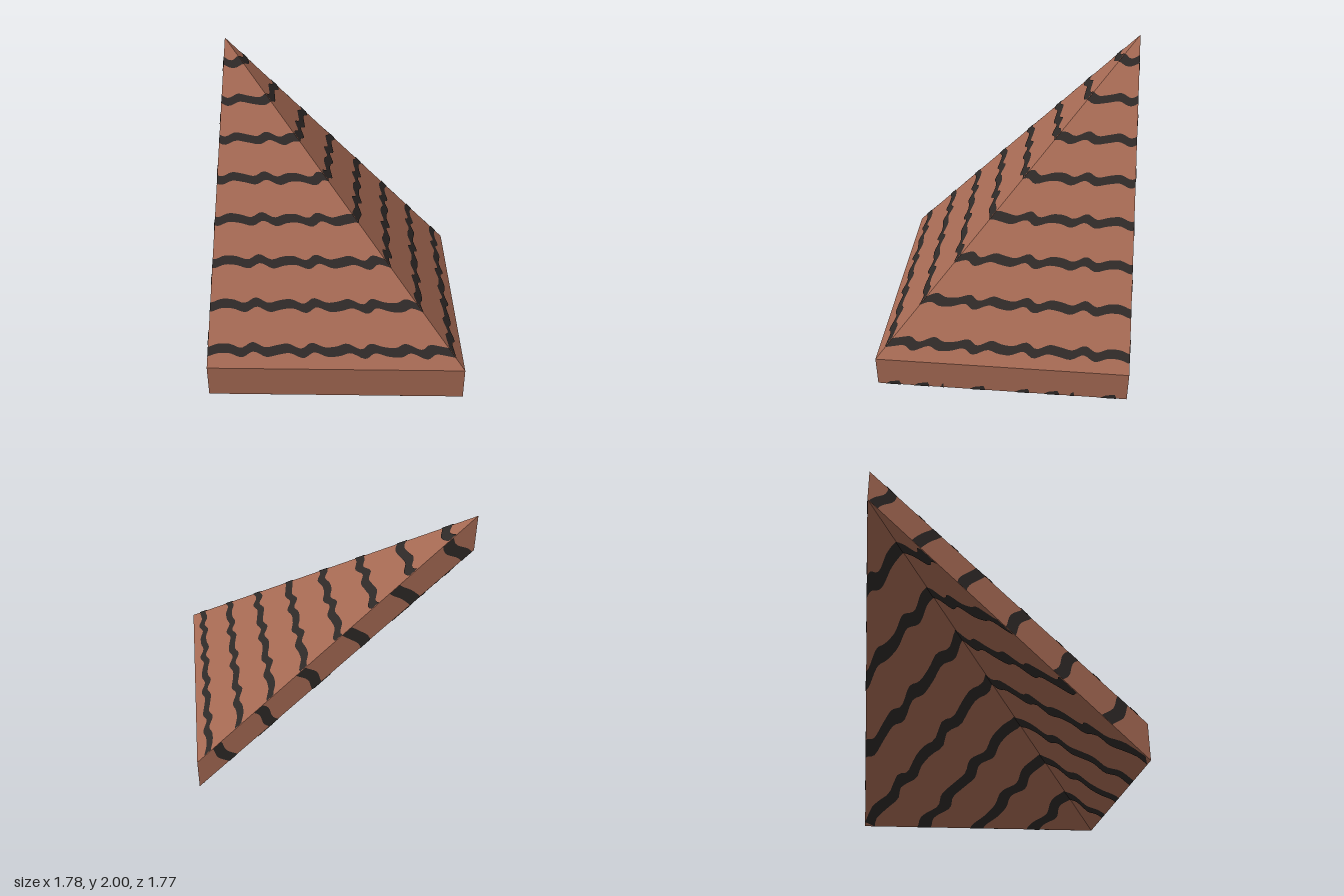
import * as THREE from 'three';

const R = 0.885;      // half of the square plan
const THICK = 0.23;   // vertical thickness of the roof slab
const LIFT = 0.003;   // stripes sit just off the surface
const topY = (z) => 2 - R - z;
const lowY = (z) => topY(z) - THICK;

const clay = new THREE.MeshStandardMaterial({ color: 0xa56953 });
clay.name = 'terracotta';
const dark = new THREE.MeshStandardMaterial({ color: 0x2e2927, side: THREE.DoubleSide });
dark.name = 'charcoal';

function makeMesh(name, positions, material) {
  const g = new THREE.BufferGeometry();
  g.setAttribute('position', new THREE.Float32BufferAttribute(positions, 3));
  g.computeVertexNormals();
  const mesh = new THREE.Mesh(g, material);
  mesh.name = name;
  return mesh;
}

// Two halves mirror each other across the diagonal x = z
const place = (p, mirrored) => (mirrored ? [p[2], p[1], p[0]] : p);

// Flat polygons fanned into triangles
function panels(polys, mirrored) {
  const out = [];
  for (const poly of polys) {
    const pts = poly.map((p) => place(p, mirrored));
    if (mirrored) pts.reverse();
    for (let i = 1; i < pts.length - 1; i++) out.push(...pts[0], ...pts[i], ...pts[i + 1]);
  }
  return out;
}

// Ribbon between the two edges point(u, -1) and point(u, 1)
function ribbon(out, point, mirrored, steps) {
  for (let i = 0; i < steps; i++) {
    const q = [[i, -1], [i, 1], [i + 1, 1], [i + 1, -1]]
      .map(([k, side]) => place(point(k / steps, side), mirrored));
    const order = mirrored ? [0, 2, 1, 0, 3, 2] : [0, 1, 2, 0, 2, 3];
    for (const n of order) out.push(...q[n]);
  }
}

const wave = (s, period, phase) =>
  0.011 * Math.sin((s / period) * Math.PI * 2 + phase) +
  0.004 * Math.sin((s / period) * Math.PI * 3.1 + phase * 2.3);

function buildHalf(mirrored) {
  const half = new THREE.Group();
  half.name = mirrored ? 'rightRoofHalf' : 'frontRoofHalf';

  // Slab: slope, underside, eave board and gable edge
  const [a, b, c] = [[-R, -R], [-R, R], [R, R]];
  const up = ([x, z]) => [x, topY(z), z];
  const dn = ([x, z]) => [x, lowY(z), z];
  half.add(makeMesh('roofSlab', panels([
    [up(a), up(b), up(c)],
    [dn(a), dn(c), dn(b)],
    [dn(b), dn(c), up(c), up(b)],
    [dn(a), dn(b), up(b), up(a)],
  ], mirrored), clay));

  // Wavy courses along the slope, mitred at the hip
  const slope = [];
  for (let k = 0; k < 8; k++) {
    const mid = -0.74 + k * 0.2193;
    ribbon(slope, (u, side) => {
      const s = THREE.MathUtils.lerp(-R, mid, u);
      const z = mid + wave(s, 0.212, 0.8 + k * 0.25) + side * 0.023;
      return [THREE.MathUtils.lerp(-R, z, u), topY(z) + LIFT, z + LIFT];
    }, mirrored, Math.max(6, Math.round((mid + R) * 45)));
  }
  half.add(makeMesh('slopeStripes', slope, dark));

  // Diagonal stripes on the underside, starting at the hip line
  const under = [];
  for (let k = -3; k <= 3; k++) {
    const mid = k * 0.22;
    ribbon(under, (u, side) => {
      const len = R - Math.abs(mid);
      const r = mid + wave(u * len, 0.17, k) + side * 0.026;
      const t = u * (R - Math.abs(r));
      return [r - t, lowY(r + t) - LIFT, r + t - LIFT];
    }, mirrored, 32);
  }
  half.add(makeMesh('undersideStripes', under, dark));

  // Short stripes across the gable edge
  const edge = [];
  for (let k = 0; k < 6; k++) {
    const mid = -0.72 + k * 0.295;
    ribbon(edge, (u, side) => {
      const q = u * THICK / 2;
      const z0 = mid + wave(q, 0.16, k) + side * 0.03;
      return [-R - LIFT, topY(z0) - q, Math.max(-R, z0 - q)];
    }, mirrored, 8);
  }
  half.add(makeMesh('gableStripes', edge, dark));
  return half;
}

export function createModel() {
  const model = new THREE.Group();
  model.name = 'roofCorner';
  model.add(buildHalf(false), buildHalf(true));

  // Crests of a stripe showing along the foot of the right eave
  const crests = [[0.775, 0.11], [0.57, 0.11], [0.42, 0.02], [0.17, 0.11],
    [-0.15, 0.1], [-0.355, 0.11], [-0.5, 0.03], [-0.755, 0.11]];
  for (const [z, width] of crests) {
    const shape = new THREE.Shape([
      new THREE.Vector2(-width / 2, 0.015), new THREE.Vector2(-width / 2, 0),
      new THREE.Vector2(width / 2, 0), new THREE.Vector2(width * 0.2, 0.025),
      new THREE.Vector2(-width * 0.4, 0.04),
    ].map((p) => new THREE.Vector2(-p.x, p.y)));
    const crest = new THREE.Mesh(new THREE.ShapeGeometry(shape), dark);
    crest.name = 'eaveCrest';
    crest.rotation.y = Math.PI / 2;
    crest.position.set(R + LIFT, 0, z);
    model.add(crest);
  }
  return model;
}
